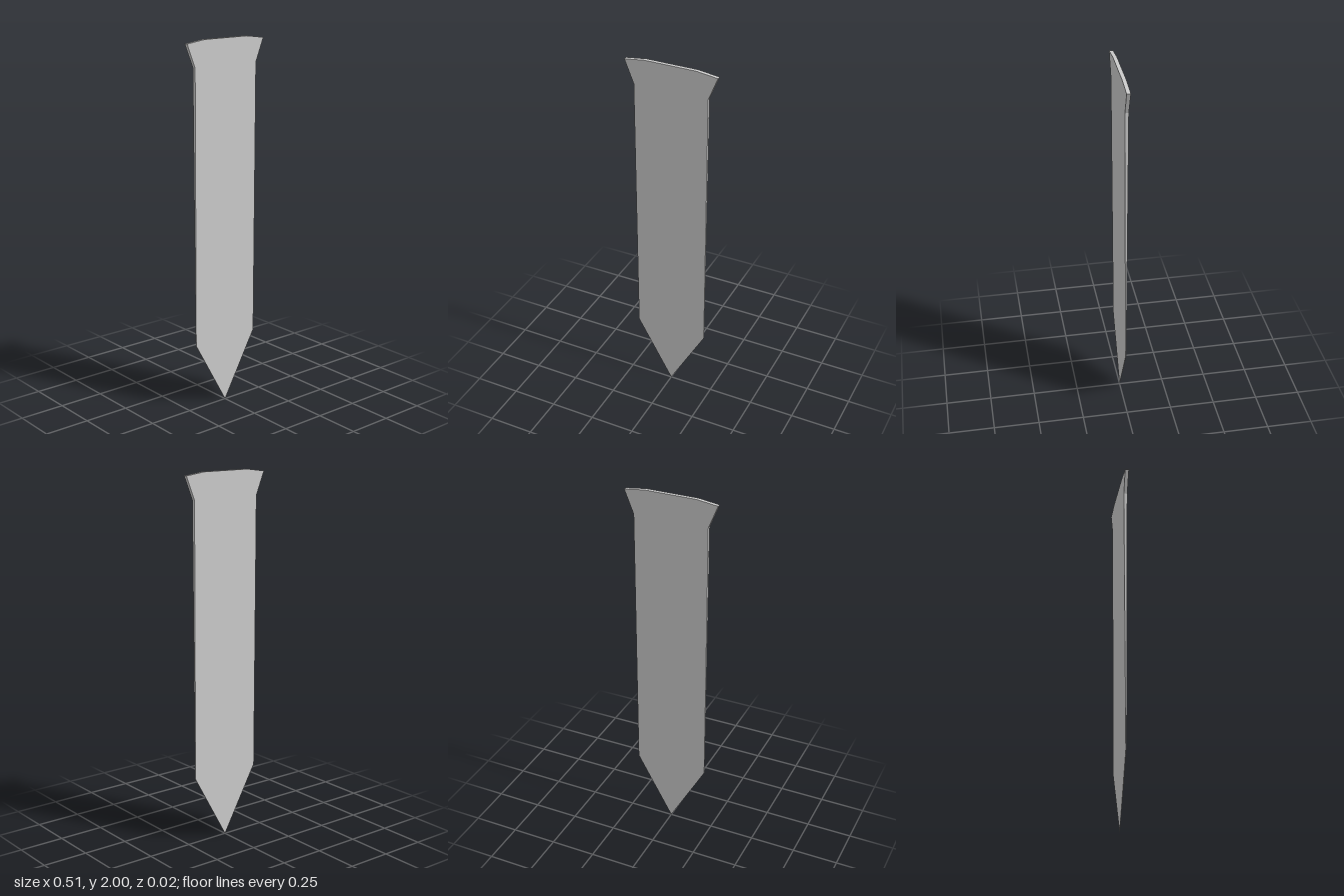
import * as THREE from 'three';

export function createModel() {
  const group = new THREE.Group();
  const material = new THREE.MeshStandardMaterial({ color: 0xcccccc, flatShading: true });

  // Right half of the outline, from above the tip up to the flared head
  const half = [[0.203, 0.365], [0.203, 1.86], [0.253, 1.985], [0.14, 2]];
  const outline = [[0, 0], ...half, ...half.map(([x, y]) => [-x, y]).reverse()];
  const shape = new THREE.Shape(outline.map(([x, y]) => new THREE.Vector2(x, y)));

  // Flat blade whose thickness shrinks evenly towards the tip
  const geometry = new THREE.ExtrudeGeometry(shape, { depth: 1, bevelEnabled: false });
  const pos = geometry.attributes.position;
  for (let i = 0; i < pos.count; i++) {
    const halfThickness = THREE.MathUtils.lerp(0.0004, 0.0102, pos.getY(i) / 2);
    pos.setZ(i, (pos.getZ(i) > 0.5 ? 1 : -1) * halfThickness);
  }
  geometry.computeVertexNormals();

  const blade = new THREE.Mesh(geometry, material);
  blade.name = 'pointedBlade';
  group.add(blade);
  return group;
}
